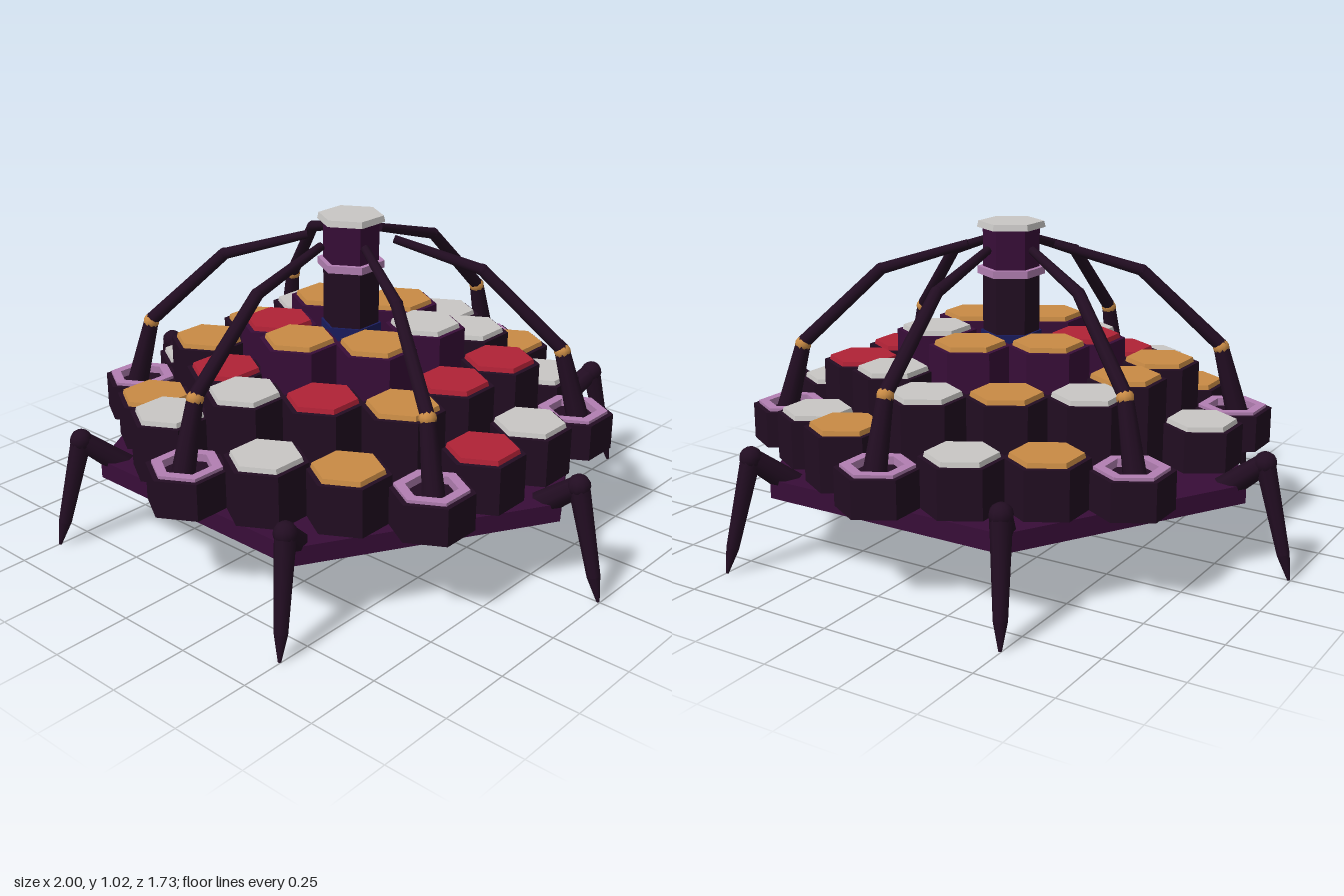
import * as THREE from 'three';

const mat = (name, color) => Object.assign(new THREE.MeshStandardMaterial({ color }), { name });
const M = {
  dark: mat('dark plum', 0x220d22),
  purple: mat('purple', 0x380d38),
  white: mat('pale grey', 0xc9c7c5),
  orange: mat('orange', 0xc98b45),
  red: mat('red', 0xb02236),
  lavender: mat('lavender', 0xb27fb2),
  navy: mat('navy', 0x1a1c5e),
};

// split faces so every side is shaded flat
function flat(geo) {
  const g = geo.index ? geo.toNonIndexed() : geo;
  g.computeVertexNormals();
  return g;
}

function add(parent, name, geo, material, x = 0, y = 0, z = 0) {
  const m = new THREE.Mesh(geo, material);
  m.name = name;
  m.position.set(x, y, z);
  parent.add(m);
  return m;
}

// hexagonal prism between two heights, corners towards +z and -z
function hex(parent, name, material, r, y0, y1, x = 0, z = 0, rTop = r) {
  return add(parent, name, flat(new THREE.CylinderGeometry(rTop, r, y1 - y0, 6)), material, x, (y0 + y1) / 2, z);
}

// hexagonal ring with an open middle
function hexRing(parent, name, material, ri, ro, y0, y1, x = 0, z = 0) {
  const p = [[ri, y0], [ro, y0], [ro, y1], [ri, y1], [ri, y0]].map(a => new THREE.Vector2(...a));
  return add(parent, name, flat(new THREE.LatheGeometry(p, 6)), material, x, 0, z);
}

// tapered rod lying in the x-y plane, from a to b
function rod(parent, name, material, a, b, ra, rb) {
  const p = new THREE.Vector3(a[0], a[1], 0), q = new THREE.Vector3(b[0], b[1], 0);
  const d = q.clone().sub(p);
  const m = add(parent, name, new THREE.CylinderGeometry(rb, ra, d.length(), 8), material);
  m.position.copy(p).add(q).multiplyScalar(0.5);
  m.quaternion.setFromUnitVectors(new THREE.Vector3(0, 1, 0), d.normalize());
  return m;
}

const ball = (parent, name, material, r, x, y) =>
  add(parent, name, new THREE.SphereGeometry(r, 10, 8), material, x, y, 0);

const DX = 0.212, DZ = 0.245;

// one string per column of the comb, listed from back to front:
// w/o/r tile colours, p pylon, c centre, - empty
const COLUMNS = ['p-wp', 'owooo', 'wooRrw', 'pwocowp', 'owWorw', 'wrroo', 'pwrp'];
const TILE = { w: M.white, W: M.white, o: M.orange, r: M.red, R: M.red };
const RING_TOP = [0, 0.675, 0.57, 0.45];
// small height differences between tiles
const OFFSETS = { '-1,0.5': -0.025, '-1,1.5': -0.015, '-1,2.5': 0.03, '1,-1.5': 0.02,
  '1,-2.5': 0.02, '1,2.5': 0.015, '-3,0.5': -0.025, '-2,2': -0.01 };

function buildComb(root) {
  const comb = new THREE.Group();
  comb.name = 'comb';
  root.add(comb);
  COLUMNS.forEach((column, i) => {
    const q = i - 3;
    [...column].forEach((kind, j) => {
      const k = j - (column.length - 1) / 2;
      const x = q * DX, z = k * DZ;
      if (kind === '-' || kind === 'c') return;
      if (kind === 'p') {
        hex(comb, 'pylonBase', M.dark, 0.13, 0.28, 0.385, x, z);
        hexRing(comb, 'pylonRim', M.dark, 0.108, 0.13, 0.38, 0.4, x, z);
        hexRing(comb, 'pylonRing', M.lavender, 0.078, 0.112, 0.38, 0.41, x, z);
        return;
      }
      const ring = Math.max(Math.abs(q), Math.abs(q) / 2 + Math.abs(k));
      const top = RING_TOP[ring] + (OFFSETS[`${q},${k}`] || 0);
      hex(comb, 'cell', ring === 1 ? M.purple : M.dark, 0.13, 0.28, top - 0.015, x, z);
      hex(comb, 'tile', TILE[kind], 0.113, top - 0.015, top, x, z, 0.109);
    });
  });
}

function buildTower(root) {
  const tower = new THREE.Group();
  tower.name = 'tower';
  root.add(tower);
  hex(tower, 'towerFoot', M.dark, 0.13, 0.28, 0.57);
  hex(tower, 'towerFootTile', M.white, 0.115, 0.57, 0.59);
  hex(tower, 'towerCollar', M.navy, 0.1, 0.59, 0.66);
  hex(tower, 'towerLower', M.dark, 0.092, 0.66, 0.86);
  hexRing(tower, 'towerRing', M.lavender, 0.085, 0.11, 0.848, 0.872);
  hex(tower, 'towerUpper', M.purple, 0.092, 0.86, 1.0);
  hex(tower, 'towerCap', M.white, 0.111, 1.0, 1.02, 0, 0, 0.106);
}

// jointed arm rising from a pylon towards the tower
function buildArm(angle) {
  const g = new THREE.Group();
  g.name = 'arm';
  rod(g, 'armLower', M.dark, [0.75, 0.385], [0.69, 0.605], 0.036, 0.025);
  ball(g, 'armJoint', M.orange, 0.027, 0.69, 0.605);
  rod(g, 'armMiddle', M.dark, [0.69, 0.61], [0.425, 0.86], 0.023, 0.02);
  ball(g, 'armElbow', M.dark, 0.02, 0.425, 0.86);
  rod(g, 'armTip', M.dark, [0.425, 0.86], [0.14, 0.945], 0.019, 0.014);
  g.rotation.y = angle;
  return g;
}

// bent leg below the rim of the base
function buildLeg(angle) {
  const g = new THREE.Group();
  g.name = 'leg';
  rod(g, 'thigh', M.dark, [0.735, 0.225], [0.9, 0.36], 0.042, 0.032);
  ball(g, 'knee', M.dark, 0.036, 0.9, 0.36);
  rod(g, 'shin', M.dark, [0.9, 0.36], [0.972, 0.08], 0.033, 0.021);
  rod(g, 'claw', M.dark, [0.972, 0.08], [0.994, 0.001], 0.021, 0.005);
  g.rotation.y = angle;
  return g;
}

export function createModel() {
  const root = new THREE.Group();
  root.name = 'hexagonComb';
  hex(root, 'base', M.purple, 0.843, 0.22, 0.28).rotation.y = Math.PI / 6;
  buildComb(root);
  buildTower(root);
  for (let i = 0; i < 6; i++) {
    root.add(buildLeg(i * Math.PI / 3));
    root.add(buildArm(i * Math.PI / 3 + Math.PI / 6));
  }
  return root;
}
